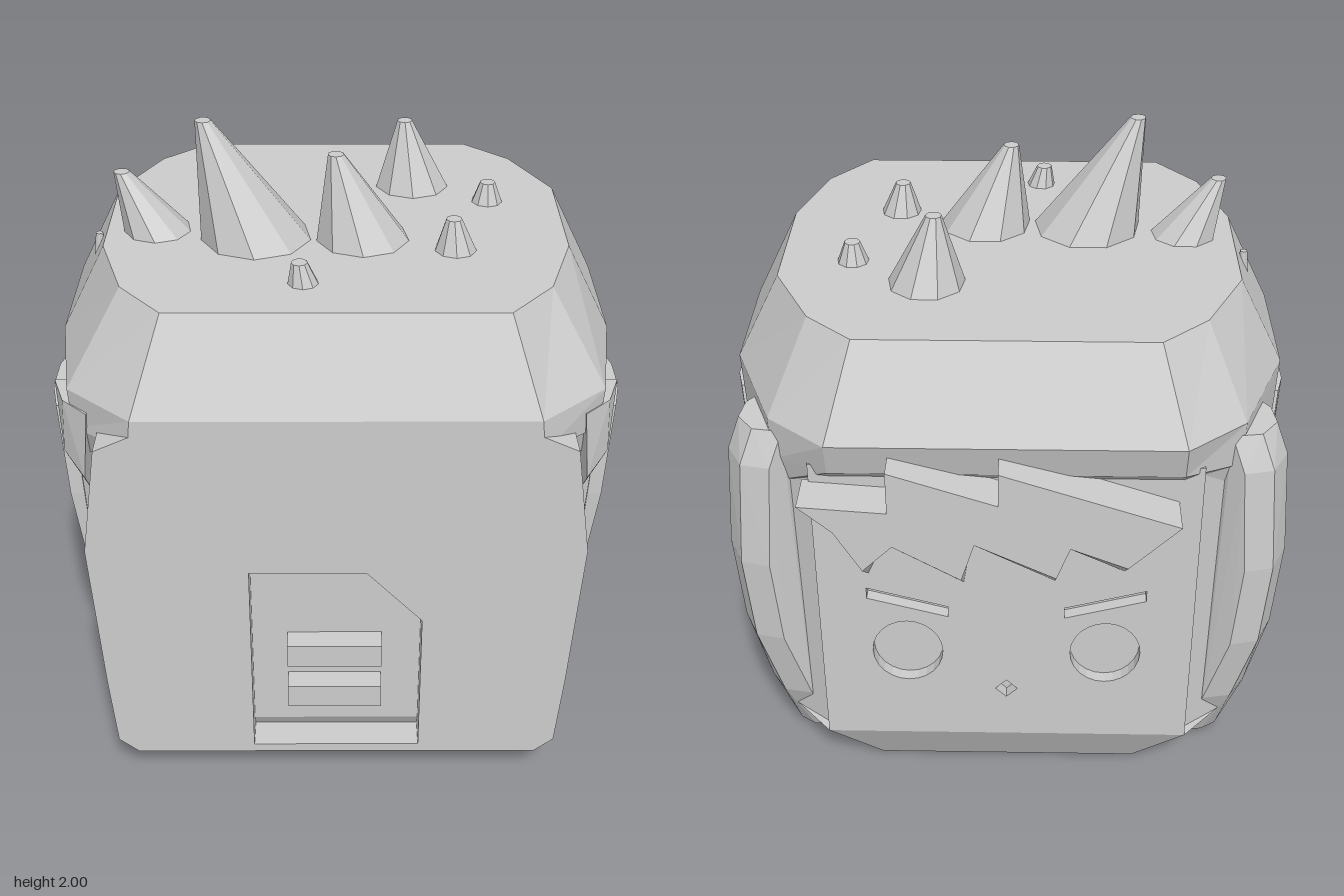
import * as THREE from 'three';
import { ConvexGeometry } from 'three/addons/geometries/ConvexGeometry.js';

const V = (x, y, z) => new THREE.Vector3(x, y, z);

// Half outline (front to back, +x side) mirrored into a closed ring; points are [x, z, y].
function ring(half, y) {
  const right = half.map(([x, z, py]) => V(x, py ?? y, z));
  return [...right, ...right.map((p) => V(-p.x, p.y, p.z)).reverse()];
}

// Faceted skin through rings listed from bottom to top, closed at the top.
function loft(rings) {
  const pos = [];
  const tri = (...ps) => ps.forEach((p) => pos.push(p.x, p.y, p.z));
  const n = rings[0].length;
  for (let r = 0; r < rings.length - 1; r++) {
    for (let i = 0; i < n; i++) {
      const j = (i + 1) % n, lo = rings[r], hi = rings[r + 1];
      tri(lo[i], lo[j], hi[j]);
      tri(lo[i], hi[j], hi[i]);
    }
  }
  const top = rings.at(-1);
  for (let i = 1; i < n - 1; i++) tri(top[0], top[i], top[i + 1]);
  const g = new THREE.BufferGeometry();
  g.setAttribute('position', new THREE.Float32BufferAttribute(pos, 3));
  g.computeVertexNormals();
  return g;
}

const outline = (pts) => pts.map(([x, y]) => new THREE.Vector2(x, y));

function plate(pts, holes, depth, z) {
  const s = new THREE.Shape(outline(pts));
  holes.forEach((h) => s.holes.push(new THREE.Path(outline(h))));
  return new THREE.ExtrudeGeometry(s, { depth, bevelEnabled: false }).translate(0, 0, z);
}

export function createModel() {
  const group = new THREE.Group();
  const grey = new THREE.MeshStandardMaterial({ color: 0xcccccc });
  grey.name = 'grey';
  const add = (name, geometry) => {
    const m = new THREE.Mesh(geometry, grey);
    m.name = name;
    group.add(m);
    return m;
  };
  const hull = (name, pts) => add(name, new ConvexGeometry(pts));

  // Head block with a bevelled base
  const base = [[0.5, 0.6], [0.6, 0.42], [0.62, 0.2], [0.62, -0.2], [0.55, -0.42], [0.42, -0.55]];
  const wide = [[0.62, 0.71], [0.74, 0.56], [0.78, 0.22], [0.78, -0.22], [0.7, -0.52], [0.58, -0.65]];
  const body = [...wide.slice(0, 5), [0.58, -0.61]];
  add('head', loft([ring(base, 0), ring(wide, 0.19), ring(body, 0.19), ring(body, 1.34)]));

  // Underside with a square socket
  const under = new THREE.Shape(ring(base, 0).map((p) => new THREE.Vector2(p.x, p.z)));
  under.holes.push(new THREE.Path(outline([[-0.18, -0.16], [0.18, -0.16], [0.18, 0.24], [-0.18, 0.24]])));
  add('underside', new THREE.ShapeGeometry(under).rotateX(Math.PI / 2));
  const socket = new THREE.BoxGeometry(0.36, 0.14, 0.4).scale(-1, 1, 1).translate(0, 0.07, 0.04);
  socket.computeVertexNormals();
  add('socket', socket);

  // Hair cap
  const tuck = [[0.58, 0.72, 1.25], [0.74, 0.58, 1.12], [0.78, 0.22, 1.0], [0.78, -0.22, 0.95], [0.7, -0.52, 1.1], [0.52, -0.64, 1.2]];
  const rim = [[0.59, 0.78, 1.25], [0.77, 0.6, 1.22], [0.83, 0.22, 1.16], [0.83, -0.2, 1.12], [0.7, -0.55, 1.2], [0.52, -0.68, 1.24]];
  const brim = [[0.58, 0.78], [0.78, 0.6], [0.84, 0.22], [0.84, -0.2], [0.7, -0.56], [0.52, -0.71]];
  const crown = [[0.49, 0.66], [0.62, 0.5], [0.7, 0.23], [0.7, -0.2], [0.58, -0.45], [0.44, -0.58]];
  add('hairCap', loft([ring(tuck), ring(rim), ring(brim, 1.35), ring(crown, 1.63)]));

  // Hair spikes: base x, z, radius, tip x, z, height
  [
    [-0.23, 0.16, 0.18, -0.39, 0.155, 2.0],
    [-0.53, 0.11, 0.115, -0.645, 0.11, 1.82],
    [0.09, 0.17, 0.155, 0.0, 0.17, 1.9],
    [0.25, -0.235, 0.13, 0.22, -0.235, 1.85],
    [0.48, -0.1, 0.06, 0.48, -0.1, 1.695],
    [0.36, 0.255, 0.075, 0.35, 0.255, 1.73],
    [-0.09, 0.475, 0.055, -0.105, 0.475, 1.695],
  ].forEach(([x, z, r, tx, tz, h]) => {
    const y0 = 1.6, g = new THREE.CylinderGeometry(0.024, r, h - y0, 9).toNonIndexed();
    const p = g.attributes.position;
    for (let i = 0; i < p.count; i++) {
      const t = p.getY(i) > 0 ? 1 : 0;
      p.setXYZ(i, p.getX(i) + (t ? tx : x), t ? h : y0, p.getZ(i) + (t ? tz : z));
    }
    g.computeVertexNormals();
    add('hairSpike', g);
  });
  const stud = add('hairStud', new THREE.CylinderGeometry(0.012, 0.022, 0.08, 6));
  stud.position.set(-0.735, 1.555, 0.06);

  // Panel on the flat hair side, with a cut-corner recess and two bars
  add('rearPanel', plate(
    [[-0.63, 0.11], [0.63, 0.11], [0.69, 0.16], [0.71, 0.4], [0.74, 0.9], [0.69, 1.25], [0.58, 1.3],
      [-0.58, 1.3], [-0.69, 1.25], [-0.74, 0.9], [-0.71, 0.4], [-0.69, 0.16]],
    [[[-0.26, 0.14], [0.26, 0.14], [0.26, 0.64], [0.09, 0.82], [-0.26, 0.82]]], 0.2, 0.58));
  [0.34, 0.5].forEach((y) => {
    add('panelBar', new THREE.BoxGeometry(0.29, 0.08, 0.08)).position.set(-0.005, y, 0.74);
  });

  // Row of lock ends under the panel
  const cuts = [-0.7, -0.39, -0.13, 0.13, 0.39, 0.7];
  for (let i = 0; i < 5; i++) {
    const [a, b] = [cuts[i], cuts[i + 1]];
    const lo = i === 0 ? -0.55 : a + 0.03, hi = i === 4 ? 0.55 : b - 0.03;
    const ta = Math.max(a, -0.63), tb = Math.min(b, 0.63);
    hull('lockEnd', [V(ta, 0.115, 0.78), V(tb, 0.115, 0.78), V(a, 0.14, 0.6), V(b, 0.14, 0.6),
      V(lo, 0, 0.66), V(hi, 0, 0.66), V(lo, 0, 0.52), V(hi, 0, 0.52)]);
  }

  for (const s of [1, -1]) {
    // Side strands: [y, outer x, z front, z back] for each section
    const strand = (name, rows, inner) => hull(name, rows.flatMap(([y, x, a, b]) => [
      V(s * inner, y, a), V(s * inner, y, b),
      V(s * (x - 0.025), y, a), V(s * x, y, a * 0.65 + b * 0.35),
      V(s * x, y, a * 0.25 + b * 0.75), V(s * (x - 0.02), y, b)]));
    strand('sideStrand', [[1.22, 0.865, 0.48, 0.145], [0.9, 0.848, 0.48, 0.14], [0.57, 0.81, 0.46, 0.13], [0.4, 0.785, 0.4, 0.22]], 0.72);
    strand('sideStrand', [[1.22, 0.87, 0.135, -0.17], [0.9, 0.85, 0.13, -0.21], [0.55, 0.81, 0.12, -0.2], [0.4, 0.785, 0.05, -0.15]], 0.72);

    // Short lobe and thin pointed strand at the corner
    hull('cornerLobe', [V(s * 0.72, 1.3, 0.66), V(s * 0.8, 1.3, 0.58), V(s * 0.84, 1.3, 0.46), V(s * 0.7, 1.3, 0.46),
      V(s * 0.74, 1.08, 0.66), V(s * 0.81, 1.12, 0.57), V(s * 0.82, 1.12, 0.48), V(s * 0.74, 0.97, 0.56), V(s * 0.76, 0.95, 0.5)]);
    hull('cornerStrand', [V(s * 0.7, 1.15, 0.56), V(s * 0.79, 1.15, 0.49), V(s * 0.7, 1.15, 0.4),
      V(s * 0.775, 0.8, 0.48), V(s * 0.75, 0.45, 0.5)]);

    // Long tapered lock framing the face
    hull('faceLock', [
      [1.31, 0.8, -0.34, -0.57], [1.2, 0.84, -0.28, -0.605], [0.85, 0.865, -0.25, -0.625],
      [0.55, 0.845, -0.25, -0.615], [0.28, 0.78, -0.31, -0.57], [0.03, 0.71, -0.35, -0.46],
    ].flatMap(([y, x, a, b]) => {
      const d = a - b;
      return [V(s * 0.6, y, a), V(s * (x - 0.14), y, b), V(s * (x - 0.05), y, b + d * 0.06),
        V(s * x, y, b + d * 0.35), V(s * (x - 0.01), y, b + d * 0.7), V(s * (x - 0.06), y, a)];
    }));
  }

  // Face plate with sunken eyes, brows and nose
  const holes = [[[0, 0.42], [-0.035, 0.385], [0, 0.35], [0.035, 0.385]]];
  for (const s of [1, -1]) {
    holes.push(Array.from({ length: 24 }, (_, i) => {
      const a = i / 24 * Math.PI * 2;
      return [s * 0.31 + 0.11 * Math.cos(a), 0.54 + 0.12 * Math.sin(a)];
    }));
    holes.push([[s * 0.18, 0.68], [s * 0.43, 0.75], [s * 0.43, 0.79], [s * 0.18, 0.72]]);
  }
  add('facePlate', plate([[-0.58, 0.19], [0.58, 0.19], [0.58, 1.25], [-0.58, 1.25]], holes, 0.04, -0.65));

  // Jagged fringe whose lower edge slopes back toward the face
  const fringe = plate([
    [0.6, 1.19], [0.5, 1.1], [0.42, 0.96], [0.33, 1.05], [0.13, 0.93], [0.09, 1.06], [-0.15, 0.94],
    [-0.19, 1.05], [-0.36, 0.98], [-0.51, 1.13], [0.02, 1.31], [0.02, 1.2], [0.34, 1.31], [0.34, 1.17],
  ], [], 0.14, -0.78);
  const fp = fringe.attributes.position;
  for (let i = 0; i < fp.count; i++) {
    if (fp.getZ(i) > -0.7 && fp.getY(i) < 1.0) fp.setY(i, fp.getY(i) - 0.12);
  }
  fringe.computeVertexNormals();
  add('fringe', fringe);

  return group;
}
